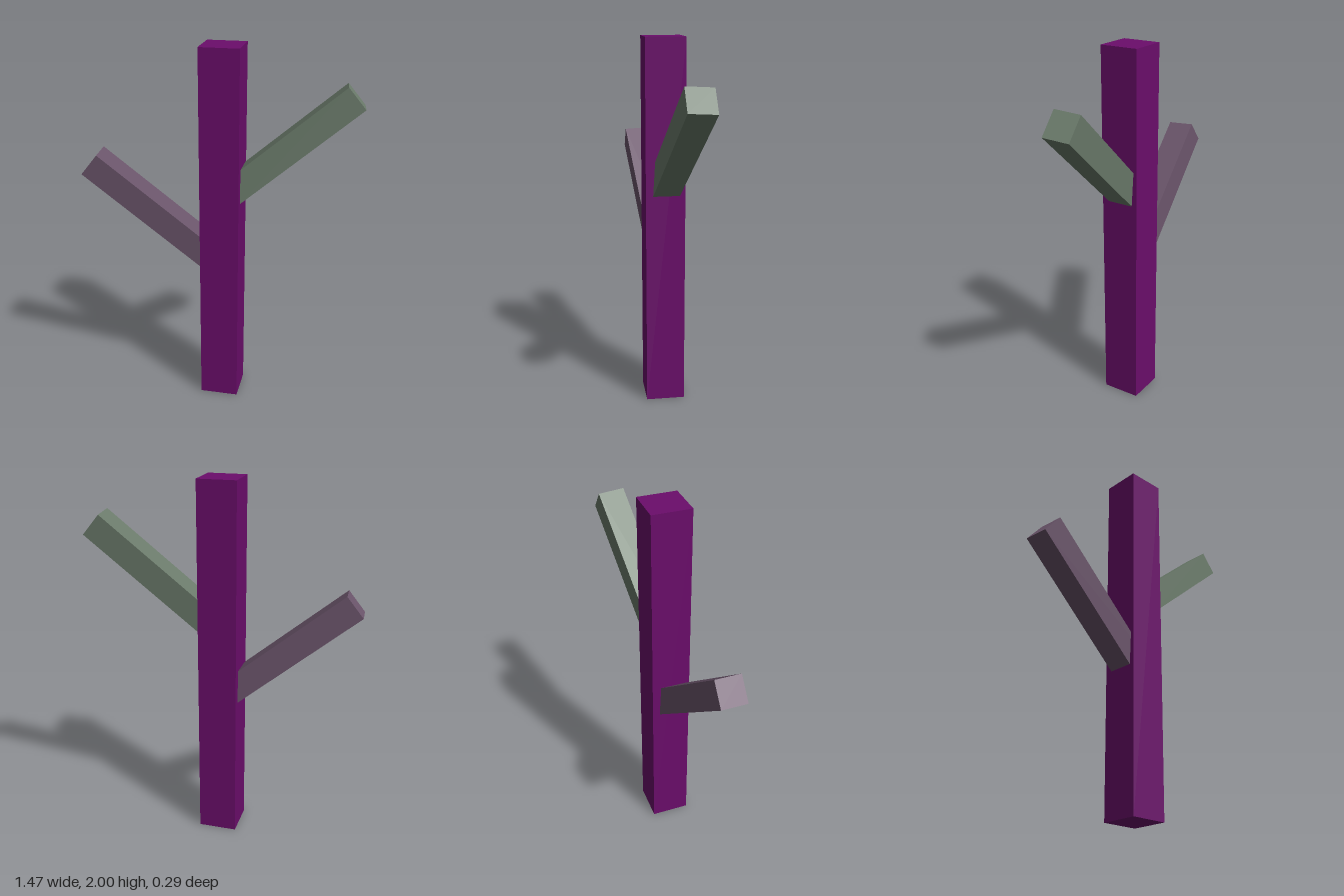
import * as THREE from 'three';

const material = (name, color) => {
  const m = new THREE.MeshStandardMaterial({ color });
  m.name = name;
  return m;
};

// Square beam between two points, its side faces kept upright
function makeBranch(name, start, end, mat) {
  const dir = end.clone().sub(start);
  const length = dir.length();
  dir.normalize();
  const side = new THREE.Vector3(0, 0, 1).addScaledVector(dir, -dir.z).normalize();
  const up = side.clone().cross(dir);
  const mesh = new THREE.Mesh(new THREE.BoxGeometry(length, 0.142, 0.142), mat);
  mesh.name = name;
  mesh.quaternion.setFromRotationMatrix(new THREE.Matrix4().makeBasis(dir, up, side));
  mesh.position.copy(start).add(end).multiplyScalar(0.5);
  return mesh;
}

export function createModel() {
  const model = new THREE.Group();
  model.name = 'branchedPost';

  // Upright trunk
  const trunk = new THREE.Mesh(new THREE.BoxGeometry(0.21, 2, 0.21), material('purple', 0x6b0d6b));
  trunk.name = 'trunk';
  trunk.position.set(0.015, 1, 0.005);
  model.add(trunk);

  // Branches start inside the trunk
  const leftEnd = new THREE.Vector3(0.685, 1.753, -0.073);
  const rightEnd = new THREE.Vector3(-0.685, 1.37, 0.073);
  const leftStart = leftEnd.clone().addScaledVector(new THREE.Vector3(1, 0.845, -0.12), -0.63);
  const rightStart = rightEnd.clone().addScaledVector(new THREE.Vector3(-1, 0.812, 0.097), -0.66);
  model.add(makeBranch('leftBranch', leftStart, leftEnd, material('greyGreen', 0x6b7b6b)));
  model.add(makeBranch('rightBranch', rightStart, rightEnd, material('greyPurple', 0x6b556b)));

  return model;
}
